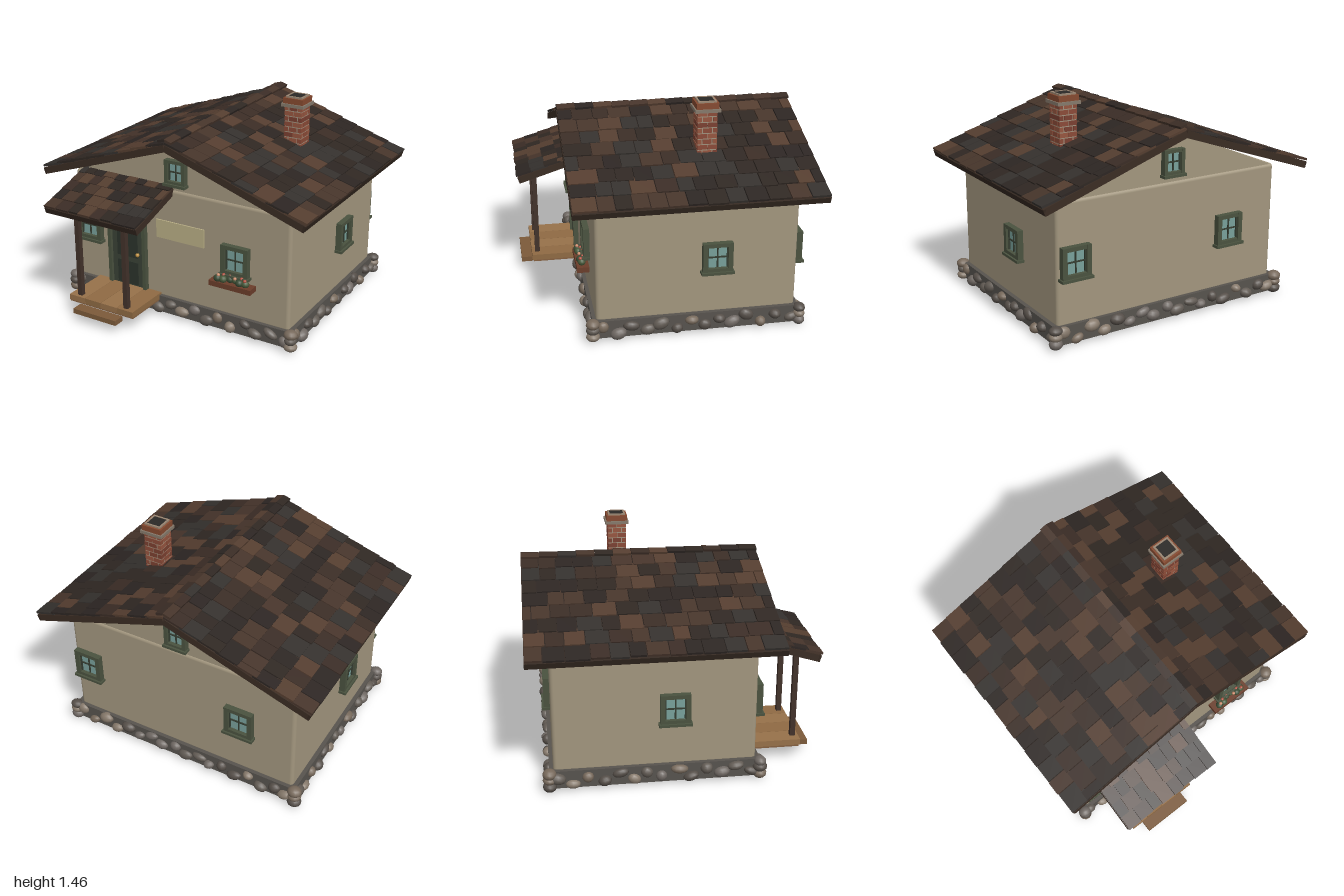
import * as THREE from 'three';
import { RoundedBoxGeometry } from 'three/addons/geometries/RoundedBoxGeometry.js';

const MID = -0.145; // z of the house centre
const GREEN = 0x4a523f, DARK_GREEN = 0x353d31, TIMBER = 0x42322a, PLANK = 0x8f6a43, WALL = 0xa2967e;
const SHINGLES = [0x3a2c25, 0x2f2722, 0x46342a, 0x34302d, 0x543d2f, 0x2c2522];
const STONES = [0x77695b, 0x615a53, 0x85786a, 0x554e48, 0x6e6762];
const BRICKS = [0x8a4a37, 0x7a3f30, 0x96553f];

let seed = 7;
const rand = (a = 0, b = 1) => {
  seed = (seed * 16807) % 2147483647;
  return a + (b - a) * (seed / 2147483647);
};
const pick = (list) => list[Math.floor(rand() * list.length)];

const mats = {};
const mat = (color) => (mats[color] ??= new THREE.MeshStandardMaterial({ color }));
const unitBox = new THREE.BoxGeometry(1, 1, 1);
const ball = new THREE.SphereGeometry(1, 12, 8);

function add(parent, name, geometry, color, x = 0, y = 0, z = 0) {
  const mesh = new THREE.Mesh(geometry, mat(color));
  mesh.name = name;
  mesh.position.set(x, y, z);
  parent.add(mesh);
  return mesh;
}
function box(parent, name, color, w, h, d, x, y, z) {
  const mesh = add(parent, name, unitBox, color, x, y, z);
  mesh.scale.set(w, h, d);
  return mesh;
}
function blob(parent, name, color, rx, ry, rz, x, y, z) {
  const mesh = add(parent, name, ball, color, x, y, z);
  mesh.scale.set(rx, ry, rz);
  return mesh;
}
function group(parent, name, x = 0, y = 0, z = 0, turn = 0) {
  const g = new THREE.Group();
  g.name = name;
  g.position.set(x, y, z);
  g.rotation.y = turn;
  parent.add(g);
  return g;
}

// Roof plane falling along local +x, covered by overlapping rows of shingles
function roofSlope(parent, name, length, width, rows, pitch, shingleWidth) {
  const g = group(parent, name);
  g.rotation.z = -pitch;
  box(g, 'roofDeck', 0x2e241f, length, 0.034, width - 0.02, length / 2, 0, 0);
  box(g, 'eaveBoard', 0x33271f, 0.016, 0.04, width, length - 0.006, -0.002, 0);
  for (const s of [-1, 1])
    box(g, 'bargeBoard', 0x3a2c23, length, 0.046, 0.018, length / 2, -0.002, s * (width / 2 - 0.009));
  const step = length / rows;
  for (let r = 0; r < rows; r++) {
    const end = length + 0.008 - r * step;
    const size = Math.min(step * 1.2, end);
    let z = -width / 2;
    while (z < width / 2 - 0.001) {
      let w = shingleWidth * (z === -width / 2 && r % 2 ? 0.55 : rand(0.8, 1.25));
      if (width / 2 - z - w < shingleWidth * 0.4) w = width / 2 - z;
      const jog = rand(0, 0.012);
      const tile = box(g, 'shingle', pick(SHINGLES), size, 0.014, w - 0.006, end - size / 2 - jog, 0.029 + rand(0, 0.004), z + w / 2);
      tile.rotation.z = 0.05;
      z += w;
    }
  }
  return g;
}

// Window facing +z with its back on the wall
function windowUnit(parent, w, h, x, y, z, turn) {
  const g = group(parent, 'window', x, y, z, turn);
  const b = w * 0.16;
  box(g, 'glass', 0x78a09a, w - b, h - b, 0.012, 0, 0, 0.008);
  for (const s of [-1, 1]) {
    box(g, 'sideFrame', GREEN, b, h, 0.045, s * (w - b) / 2, 0, 0.018);
    box(g, 'crossFrame', GREEN, w - 2 * b, b * 0.85, 0.043, 0, s * (h - b * 0.85) / 2, 0.018);
    box(g, 'sashSide', DARK_GREEN, 0.008, h - 2 * b, 0.02, s * (w / 2 - b - 0.003), 0, 0.014);
  }
  box(g, 'glazingBar', DARK_GREEN, 0.009, h - 2 * b, 0.016, 0, 0, 0.014);
  box(g, 'glazingBar', DARK_GREEN, w - 2 * b, 0.009, 0.016, 0, 0, 0.014);
  box(g, 'sill', GREEN, w * 1.1, 0.018, 0.058, 0, -h / 2 - 0.004, 0.024);
}

export function createModel() {
  seed = 7;
  const house = new THREE.Group();
  house.name = 'cottage';

  // Walls and gable
  add(house, 'walls', new RoundedBoxGeometry(1.675, 0.81, 1.31, 3, 0.025), WALL, 0, 0.525, MID);
  const tri = new THREE.Shape([new THREE.Vector2(-0.82, 0.92), new THREE.Vector2(0.82, 0.92), new THREE.Vector2(0, 1.262)]);
  add(house, 'gable', new THREE.ExtrudeGeometry(tri, { depth: 1.29, bevelEnabled: false }), WALL, 0, 0, MID - 0.645);

  // Foundation with field stones around it
  box(house, 'foundation', 0x57534e, 1.73, 0.12, 1.36, 0, 0.08, MID);
  const stones = group(house, 'foundationStones', 0, 0, MID);
  for (let side = 0; side < 4; side++) {
    const run = side % 2 ? 1.36 : 1.73, out = side % 2 ? 0.865 : 0.68;
    const g = group(stones, 'stoneRow', 0, 0, 0, side * Math.PI / 2);
    const n = side % 2 ? 14 : 18;
    for (let i = 0; i < n; i++) {
      const x = -run / 2 + 0.06 + (run - 0.12) * i / (n - 1) + rand(-0.012, 0.012);
      const y = (i % 2 ? 0.055 : 0.098) + rand(-0.01, 0.012);
      const stone = blob(g, 'stone', pick(STONES), rand(0.035, 0.058), rand(0.028, 0.04), rand(0.028, 0.042), x, y, out);
      stone.rotation.z = rand(-0.5, 0.5);
    }
    for (const y of [0.038, 0.085, 0.125])
      blob(g, 'cornerStone', pick(STONES), rand(0.038, 0.05), rand(0.028, 0.036), 0.045, run / 2, y, out);
  }

  // Main roof
  const roof = group(house, 'mainRoof', 0, 1.265, MID);
  for (const turn of [0, Math.PI])
    roofSlope(group(roof, 'roofHalf', 0, 0, 0, turn), 'slope', 1.047, 1.6, 8, 0.325, 0.125);
  for (let i = 0; i < 13; i++)
    for (const s of [-1, 1]) {
      const cap = box(roof, 'ridgeCap', pick(SHINGLES), 0.055, 0.016, 0.121, s * 0.024, 0.047, -0.738 + i * 0.123);
      cap.rotation.set(0.04, 0, -s * 0.28);
    }

  // Chimney: mortar core with staggered bricks, cap and flue
  const chimney = group(house, 'chimney', 0.475, 0, -0.26);
  box(chimney, 'mortarCore', 0xa0917d, 0.122, 0.38, 0.122, 0, 1.21, 0);
  const splits = [[[-0.032, 0.064], [0.032, 0.064]], [[-0.049, 0.03], [0, 0.064], [0.049, 0.03]]];
  for (let r = 0; r < 10; r++)
    for (const [x, w] of splits[r % 2])
      for (const [z, d] of splits[(r + 1) % 2])
        box(chimney, 'brick', pick(BRICKS), w - 0.006 + (Math.abs(x) > 0.01 ? 0.004 : 0), 0.03, d - 0.006 + (Math.abs(z) > 0.01 ? 0.004 : 0), x * 1.03, 1.045 + r * 0.037, z * 1.03);
  box(chimney, 'capSlab', 0x85796b, 0.165, 0.022, 0.165, 0, 1.4, 0);
  for (let i = 0; i < 4; i++) {
    const g = group(chimney, 'capSide', 0, 0, 0, i * Math.PI / 2);
    box(g, 'capBricks', 0x85492f, 0.145, 0.038, 0.03, 0, 1.43, 0.058);
    box(g, 'flueRim', 0x9a8672, 0.12, 0.016, 0.012, 0, 1.452, 0.054);
  }
  box(chimney, 'flue', 0x2b2826, 0.11, 0.05, 0.11, 0, 1.432, 0);

  // The back half repeats the front windows, turned about the house centre
  for (const turn of [0, Math.PI]) {
    const half = group(house, 'wallWindows', 0, 0, MID, turn);
    for (const x of [-0.717, 0.45]) windowUnit(half, 0.2, 0.205, x, 0.542, 0.655, 0);
    windowUnit(half, 0.155, 0.165, -0.003, 1.06, 0.645, 0);
    windowUnit(half, 0.195, 0.2, 0.8375, 0.53, -0.125, Math.PI / 2);
  }

  // Door
  const door = group(house, 'door', -0.403, 0, 0.51);
  box(door, 'doorLeaf', 0x3a4235, 0.27, 0.53, 0.03, 0, 0.42, 0);
  for (const s of [-1, 1]) box(door, 'doorJamb', GREEN, 0.026, 0.545, 0.055, s * 0.142, 0.427, 0.008);
  box(door, 'doorHead', GREEN, 0.31, 0.026, 0.06, 0, 0.688, 0.008);
  for (const [y, h] of [[0.495, 0.25], [0.25, 0.17]])
    box(door, 'doorPanel', 0x2b332b, 0.17, h, 0.012, -0.002, y, 0.014);
  blob(door, 'doorKnob', 0xc09040, 0.014, 0.014, 0.014, 0.09, 0.405, 0.032);

  // Blank wall plaque
  box(house, 'wallPlaque', 0xb9ae85, 0.372, 0.13, 0.012, 0.02, 0.635, 0.514);

  // Flower box under the right-hand front window
  const planter = group(house, 'flowerBox', 0.445, 0, 0.56);
  box(planter, 'trough', 0x6b3d2a, 0.31, 0.036, 0.08, 0, 0.38, 0);
  for (let i = 0; i < 6; i++) {
    const x = -0.1 + i * 0.04;
    blob(planter, 'leaves', i % 2 ? 0x46593a : 0x394b34, 0.027, 0.025, 0.026, x, 0.415, rand(-0.015, 0.015));
    blob(planter, 'blossom', i % 3 ? 0xb0503f : 0xc98a6a, 0.012, 0.011, 0.012, x + rand(-0.01, 0.01), 0.44, rand(-0.02, 0.02));
  }

  // Porch: planked deck, step, posts with braces, beam and roof
  const porch = group(house, 'porch', -0.405, 0, 0);
  for (let i = 0; i < 4; i++)
    box(porch, 'deckPlank', i % 2 ? PLANK : 0x97714a, 0.129, 0.04, 0.36, -0.198 + i * 0.132, 0.134, 0.675);
  box(porch, 'deckFrame', 0x856040, 0.52, 0.03, 0.345, 0, 0.117, 0.675);
  box(porch, 'step', 0x7c5a3a, 0.35, 0.035, 0.08, 0, 0.083, 0.89);
  box(porch, 'beam', TIMBER, 0.46, 0.035, 0.034, 0, 0.788, 0.815);
  for (const s of [-1, 1]) {
    box(porch, 'post', TIMBER, 0.034, 0.645, 0.034, s * 0.19, 0.475, 0.815);
    const brace = box(porch, 'brace', TIMBER, 0.12, 0.018, 0.022, s * 0.15, 0.74, 0.815);
    brace.rotation.z = -s * 0.85;
  }
  const porchRoof = group(porch, 'porchRoof', 0.002, 0.932, 0.45, -Math.PI / 2);
  roofSlope(porchRoof, 'porchSlope', 0.5, 0.735, 5, 0.305, 0.09);

  return house;
}
